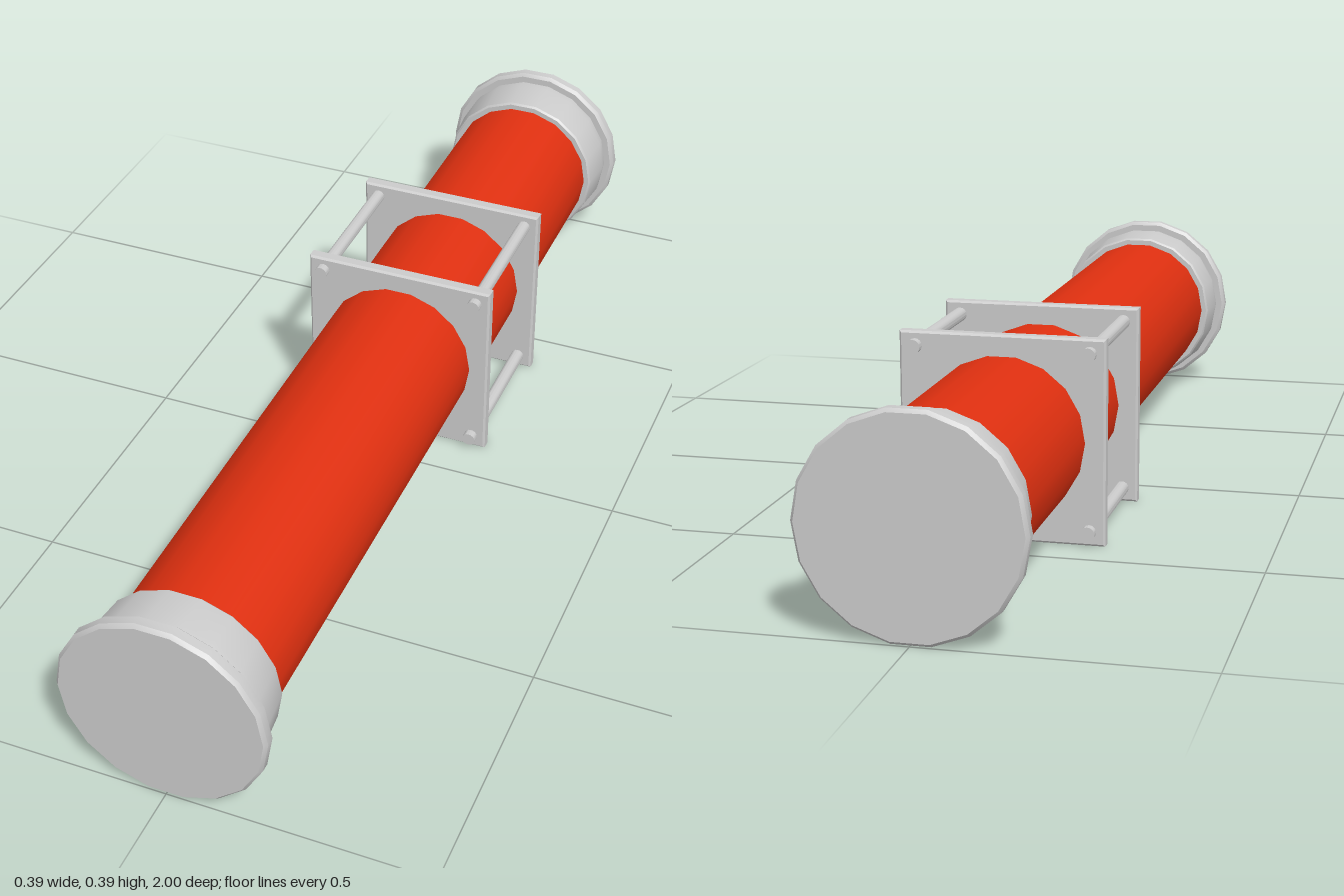
import * as THREE from 'three';
import { toCreasedNormals } from 'three/addons/utils/BufferGeometryUtils.js';

const SIDES = 18;
const AXIS_Y = 0.194;
const TUBE_RADIUS = 0.156;

const grey = new THREE.MeshStandardMaterial({ color: 0xcccccc });
const red = new THREE.MeshStandardMaterial({ color: 0xe03010 });

// Turned part along z from [radius, z] pairs, with a corner on the +x side
function turned(profile, sides) {
  const points = profile.map(([r, z]) => new THREE.Vector2(r, z));
  const geometry = new THREE.LatheGeometry(points, sides, Math.PI / 2);
  geometry.rotateX(Math.PI / 2);
  return toCreasedNormals(geometry, 0.6);
}

function add(parent, name, geometry, material, x = 0, y = 0, z = 0) {
  const mesh = new THREE.Mesh(geometry, material);
  mesh.name = name;
  mesh.position.set(x, y, z);
  parent.add(mesh);
  return mesh;
}

// Square plate with a round opening for the tube and softened edges
function plateGeometry(half, thickness) {
  const bevel = 0.004;
  const h = half - bevel;
  const shape = new THREE.Shape();
  shape.moveTo(-h, -h);
  shape.lineTo(h, -h);
  shape.lineTo(h, h);
  shape.lineTo(-h, h);
  shape.closePath();
  const hole = new THREE.Path();
  for (let i = 0; i < SIDES; i++) {
    const a = -i / SIDES * Math.PI * 2;
    const x = TUBE_RADIUS * Math.cos(a), y = TUBE_RADIUS * Math.sin(a);
    if (i === 0) hole.moveTo(x, y);
    else hole.lineTo(x, y);
  }
  hole.closePath();
  shape.holes.push(hole);
  const geometry = new THREE.ExtrudeGeometry(shape, {
    depth: thickness - 2 * bevel, bevelEnabled: true,
    bevelThickness: bevel, bevelSize: bevel, bevelSegments: 1,
  });
  geometry.translate(0, 0, -thickness / 2 + bevel);
  return geometry;
}

export function createModel() {
  const model = new THREE.Group();
  model.name = 'cappedTube';
  const body = new THREE.Group();
  body.name = 'body';
  body.position.y = AXIS_Y;
  model.add(body);

  // Main tube
  const tube = turned([[0, -0.97], [TUBE_RADIUS, -0.97], [TUBE_RADIUS, 0.97], [0, 0.97]], SIDES);
  add(body, 'tube', tube, red);

  // Flanged end caps with a tapered collar
  const cap = turned([
    [0.15, 0.874], [0.167, 0.874], [0.171, 0.878], [0.178, 0.95], [0.176, 0.97],
    [0.19, 0.97], [0.197, 0.976], [0.197, 0.993], [0.191, 1], [0, 1],
  ], SIDES);
  add(body, 'frontCap', cap, grey);
  add(body, 'backCap', cap, grey).rotation.y = Math.PI;

  // Bracket: two plates joined by four rods
  const bracket = new THREE.Group();
  bracket.name = 'bracket';
  bracket.position.z = -0.256;
  body.add(bracket);

  const plate = plateGeometry(0.194, 0.026);
  add(bracket, 'frontPlate', plate, grey, 0, 0, 0.151);
  add(bracket, 'backPlate', plate, grey, 0, 0, -0.151);

  const rod = turned([[0, -0.18], [0.0135, -0.18], [0.0135, 0.18], [0, 0.18]], 16);
  for (const x of [-0.164, 0.164]) {
    for (const y of [-0.167, 0.167]) add(bracket, 'rod', rod, grey, x, y, 0);
  }
  return model;
}
